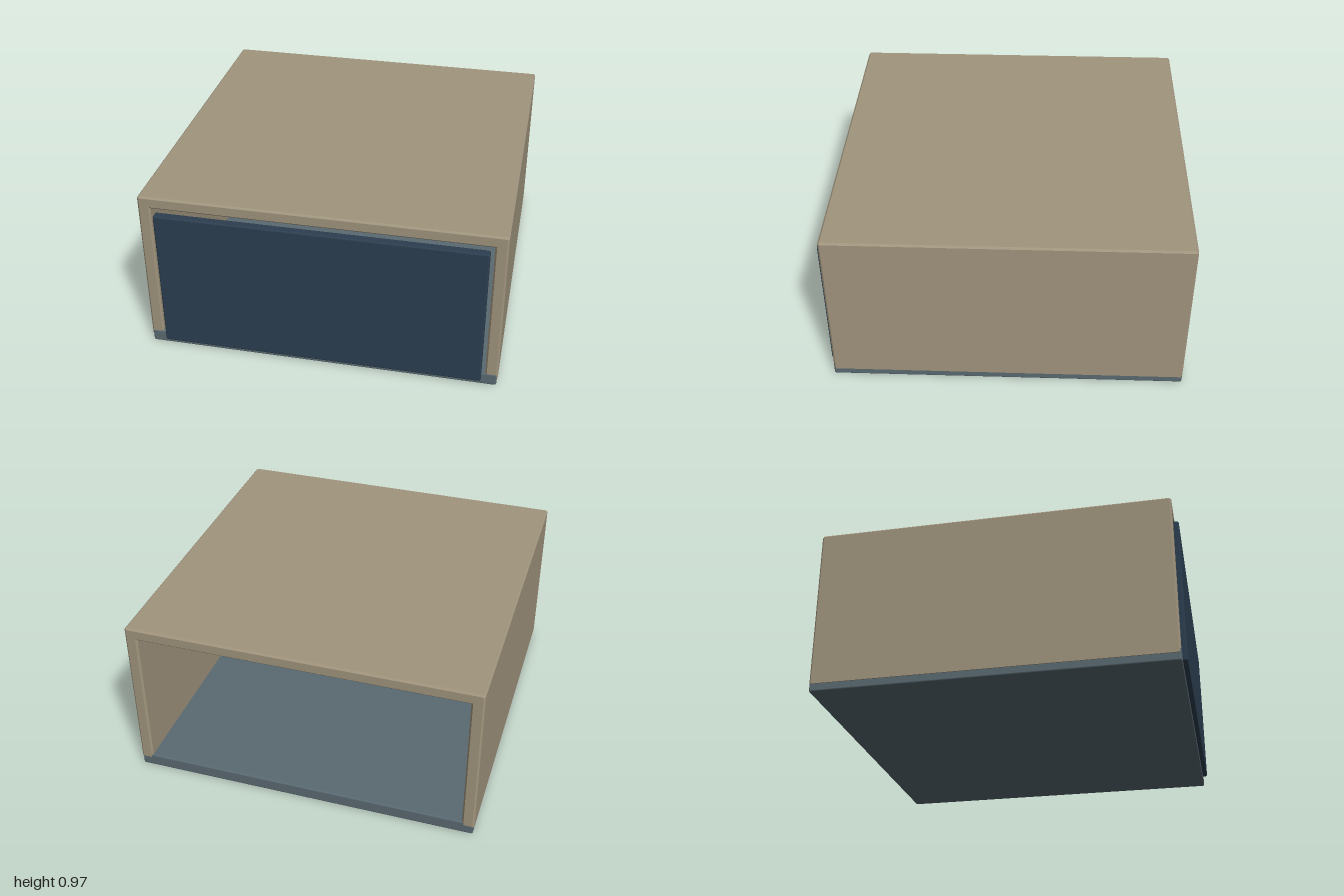
import * as THREE from 'three';
import { RoundedBoxGeometry } from 'three/addons/geometries/RoundedBoxGeometry.js';

const BEVEL = 0.01;

function addPart(group, name, geometry, color) {
  const mesh = new THREE.Mesh(geometry, new THREE.MeshStandardMaterial({ color }));
  mesh.name = name;
  group.add(mesh);
  return mesh;
}

// Box with softened edges, given by its lower and upper corners
function softBox(min, max) {
  const size = max.map((v, i) => v - min[i]);
  const geometry = new RoundedBoxGeometry(...size, 2, BEVEL);
  return geometry.translate(...min.map((v, i) => v + size[i] / 2));
}

// Upside-down U: two side walls and a roof, bevelled and run front to back
function shellGeometry() {
  const outer = 0.99, inner = 0.92, bottom = 0.045, top = 0.967, ceiling = 0.897;
  const back = -1, front = 0.972;
  const shape = new THREE.Shape([
    [-outer, bottom], [-inner, bottom], [-inner, ceiling],
    [inner, ceiling], [inner, bottom], [outer, bottom],
    [outer, top - BEVEL], [outer - BEVEL, top],
    [-outer + BEVEL, top], [-outer, top - BEVEL],
  ].map(([x, y]) => new THREE.Vector2(x, y)));
  return new THREE.ExtrudeGeometry(shape, {
    depth: front - back - 2 * BEVEL,
    bevelEnabled: true,
    bevelSegments: 1,
    bevelSize: BEVEL,
    bevelThickness: BEVEL,
    bevelOffset: -BEVEL,
  }).translate(0, 0, back + BEVEL);
}

export function createModel() {
  const model = new THREE.Group();
  model.name = 'openBackedBox';

  // Cover, open at front and back
  addPart(model, 'cover', shellGeometry(), 0xa0947d);

  // Floor plate that the cover sits over
  addPart(model, 'basePlate', softBox([-0.985, 0, -1], [0.985, 0.075, 0.974]), 0x5a6a72);

  // Front panel, standing slightly proud of the cover
  addPart(model, 'frontPanel', softBox([-0.9, 0.035, 0.95], [0.9, 0.87, 1]), 0x2c3e50);

  return model;
}
